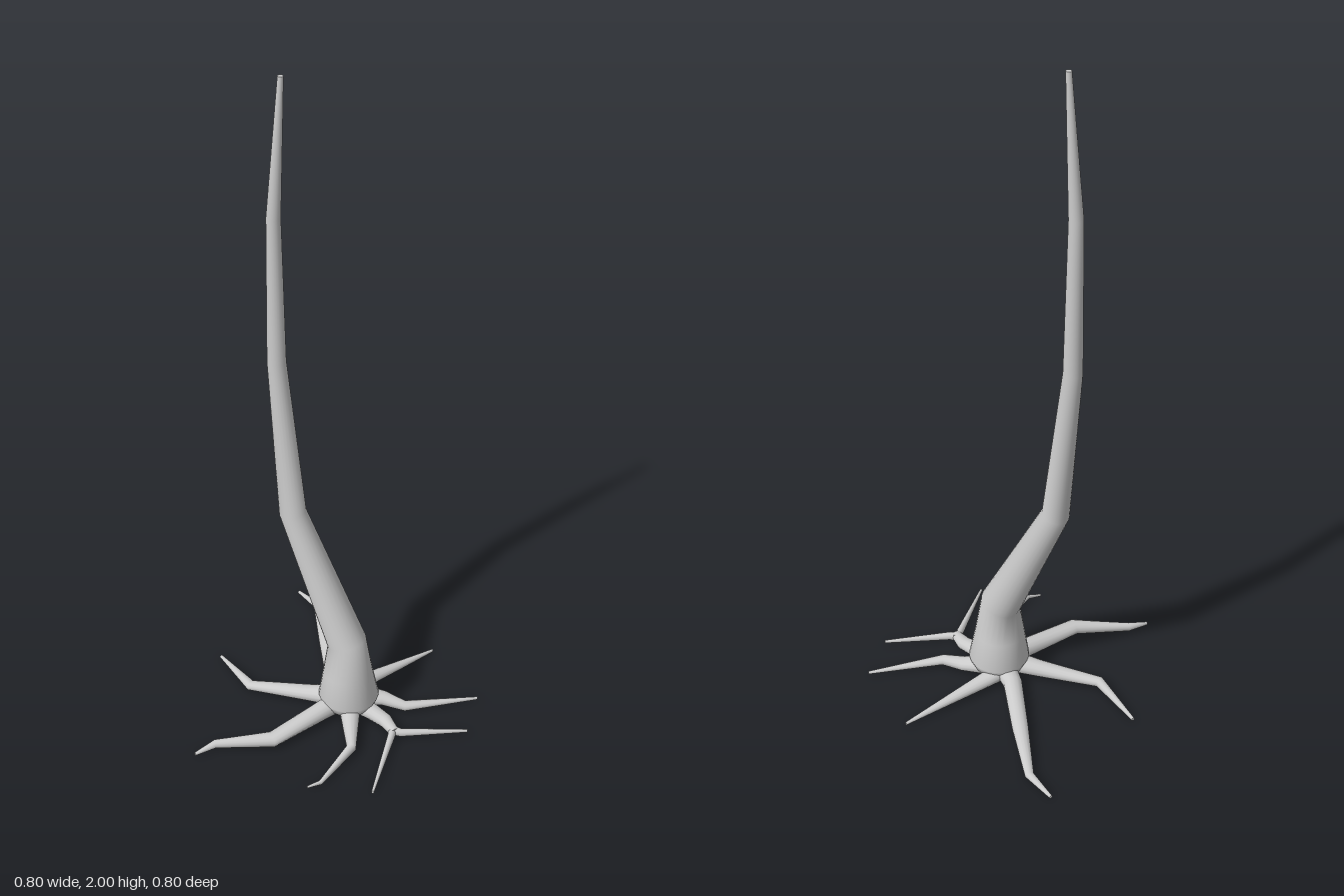
import * as THREE from 'three';

const material = new THREE.MeshStandardMaterial({ color: 0xcccccc, side: THREE.DoubleSide });

// Smooth skin through closed rings of points, with a flat cap at each end
function loft(name, rings) {
  const n = rings[0].length, pos = [], idx = [];
  rings.forEach(r => r.forEach(p => pos.push(p.x, p.y, p.z)));
  for (let i = 0; i < rings.length - 1; i++) {
    for (let j = 0; j < n; j++) {
      const a = i * n + j, b = i * n + (j + 1) % n;
      idx.push(a, a + n, b, b, a + n, b + n);
    }
  }
  [rings[0], rings[rings.length - 1]].forEach((r, end) => {
    const base = pos.length / 3;
    r.forEach(p => pos.push(p.x, p.y, p.z));
    for (let j = 1; j < n - 1; j++) {
      if (end) idx.push(base, base + j + 1, base + j);
      else idx.push(base, base + j, base + j + 1);
    }
  });
  const geo = new THREE.BufferGeometry();
  geo.setAttribute('position', new THREE.Float32BufferAttribute(pos, 3));
  geo.setIndex(idx);
  geo.computeVertexNormals();
  const mesh = new THREE.Mesh(geo, material);
  mesh.name = name;
  return mesh;
}

// Elliptical ring about a centre, spanned by two half-axes
function ring(centre, u, v, n) {
  return Array.from({ length: n }, (_, j) => {
    const a = j / n * Math.PI * 2;
    return centre.clone().addScaledVector(u, Math.cos(a)).addScaledVector(v, Math.sin(a));
  });
}

// Root lying near the ground; each point is [x, z, half width, bottom y, top y]
function root(name, points) {
  const flat = points.map(p => new THREE.Vector2(p[0], p[1]));
  const dir = i => flat[i + 1].clone().sub(flat[i]).normalize();
  const last = points.length - 1;
  const rings = points.map(([x, z, w, low, high], i) => {
    const before = dir(Math.max(i - 1, 0)), after = dir(Math.min(i, last - 1));
    const t = before.clone().add(after).normalize();
    const side = new THREE.Vector3(-t.y, 0, t.x).multiplyScalar(w / t.dot(after));
    const up = new THREE.Vector3(0, (high - low) / 2, 0);
    return ring(new THREE.Vector3(x, (low + high) / 2, z), up, side, 14);
  });
  return loft(name, rings);
}

export function createModel() {
  const model = new THREE.Group();
  model.name = 'bareTree';

  // Bent tapering trunk: [y, x, z, radius]
  const trunk = [
    [0.012, 0.04, 0.05, 0.045],
    [0.032, 0.04, 0.05, 0.078],
    [0.06, 0.04, 0.05, 0.09],
    [0.15, 0.038, 0.048, 0.074],
    [0.26, 0.037, 0.044, 0.057],
    [0.66, 0.024, -0.143, 0.039],
    [1.15, 0.03, -0.198, 0.027],
    [1.6, 0.022, -0.194, 0.02],
    [2, 0.034, -0.173, 0.008],
  ];
  model.add(loft('trunk', trunk.map(([y, x, z, r], i) => {
    // Rings tilt with the lean, keeping the two ends level
    const ends = i < 3 || i === trunk.length - 1;
    const lean = ends ? 0 : (trunk[i + 1][2] - trunk[i - 1][2]) / (trunk[i + 1][0] - trunk[i - 1][0]);
    const v = new THREE.Vector3(0, -lean * r, r);
    return ring(new THREE.Vector3(x, y, z), new THREE.Vector3(r, 0, 0), v, 24);
  })));

  // Roots spreading from the foot of the trunk
  const roots = {
    backRightRoot: [[0.03, 0.03, 0.036, 0.008, 0.07], [-0.01, -0.07, 0.027, 0.006, 0.052],
      [-0.08, -0.235, 0.016, 0.003, 0.032], [-0.021, -0.4, 0.005, 0, 0.01]],
    backLeftRoot: [[0.05, 0.03, 0.036, 0.008, 0.07], [0.095, -0.045, 0.028, 0.006, 0.055],
      [0.222, -0.172, 0.024, 0.004, 0.04], [0.35, -0.305, 0.013, 0.002, 0.022], [0.375, -0.4, 0.005, 0, 0.01]],
    leftRoot: [[0.05, 0.01, 0.036, 0.008, 0.07], [0.13, 0.032, 0.025, 0.006, 0.046],
      [0.4, 0.11, 0.004, 0, 0.01]],
    frontLeftRoot: [[0.07, 0.05, 0.036, 0.008, 0.065], [0.112, 0.13, 0.024, 0.006, 0.046],
      [0.13, 0.195, 0.017, 0.004, 0.032], [0.302, 0.343, 0.004, 0, 0.01]],
    frontRoot: [[0.04, 0.06, 0.034, 0.008, 0.065], [0.04, 0.14, 0.026, 0.006, 0.05],
      [0.037, 0.19, 0.022, 0.004, 0.042], [0.017, 0.238, 0.015, 0.004, 0.032]],
    frontForkLeft: [[0.02, 0.222, 0.014, 0.004, 0.034], [0.03, 0.25, 0.012, 0.003, 0.028],
      [0.165, 0.398, 0.004, 0, 0.01]],
    frontForkRight: [[0.03, 0.222, 0.014, 0.004, 0.034], [0.0, 0.237, 0.011, 0.003, 0.028],
      [-0.21, 0.322, 0.004, 0, 0.01]],
    frontRightRoot: [[0.03, 0.06, 0.036, 0.008, 0.07], [-0.03, 0.108, 0.027, 0.006, 0.055],
      [-0.114, 0.174, 0.014, 0.004, 0.035], [-0.272, 0.181, 0.006, 0.001, 0.015], [-0.307, 0.159, 0.003, 0, 0.008]],
    rightRoot: [[0.03, 0.04, 0.036, 0.008, 0.075], [-0.05, 0.02, 0.029, 0.008, 0.064],
      [-0.23, -0.03, 0.025, 0.004, 0.044], [-0.34, -0.158, 0.011, 0.002, 0.03], [-0.4, -0.185, 0.005, 0, 0.01]],
  };
  for (const [name, points] of Object.entries(roots)) model.add(root(name, points));
  return model;
}
